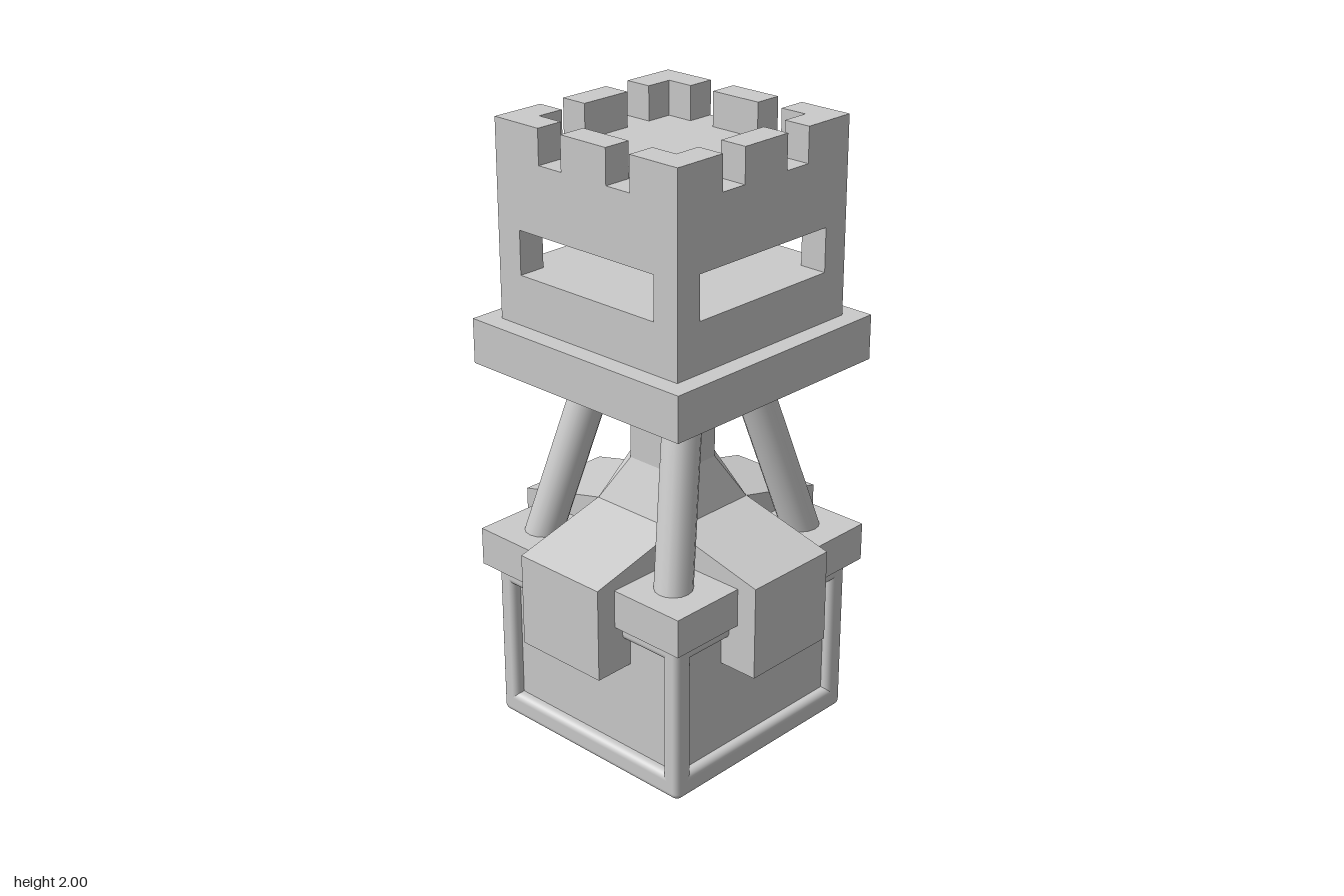
import * as THREE from 'three';
import { RoundedBoxGeometry } from 'three/addons/geometries/RoundedBoxGeometry.js';

const material = new THREE.MeshStandardMaterial({ color: 0xcccccc });

function add(parent, name, geometry, x = 0, y = 0, z = 0) {
  const mesh = new THREE.Mesh(geometry, material);
  mesh.name = name;
  mesh.position.set(x, y, z);
  parent.add(mesh);
  return mesh;
}

// Square block from y0 to y1, reaching r on each side
function block(parent, name, r, y0, y1) {
  return add(parent, name, new THREE.BoxGeometry(2 * r, y1 - y0, 2 * r), 0, (y0 + y1) / 2, 0);
}

function extrude(points, depth) {
  const shape = new THREE.Shape(points.map(([x, y]) => new THREE.Vector2(x, y)));
  return new THREE.ExtrudeGeometry(shape, { depth, bevelEnabled: false });
}

// Cross-sections [y, half width, corner chamfer] joined into a closed skin
function loft(sections) {
  const positions = [], index = [];
  for (const [y, r, c] of sections) {
    const k = r - c;
    for (const [x, z] of [[r, k], [k, r], [-k, r], [-r, k], [-r, -k], [-k, -r], [k, -r], [r, -k]]) positions.push(x, y, z);
  }
  for (let s = 0; s < sections.length - 1; s++) {
    for (let i = 0; i < 8; i++) {
      const a = s * 8 + i, b = s * 8 + (i + 1) % 8;
      index.push(a, a + 8, b, b, a + 8, b + 8);
    }
  }
  const geometry = new THREE.BufferGeometry();
  geometry.setAttribute('position', new THREE.Float32BufferAttribute(positions, 3));
  geometry.setIndex(index);
  const flat = geometry.toNonIndexed();
  flat.computeVertexNormals();
  return flat;
}

function strut(parent, name, from, to, radius) {
  const a = new THREE.Vector3(...from), b = new THREE.Vector3(...to);
  const mesh = add(parent, name, new THREE.CylinderGeometry(radius, radius, a.distanceTo(b), 16));
  mesh.position.copy(a).lerp(b, 0.5);
  mesh.quaternion.setFromUnitVectors(new THREE.Vector3(0, 1, 0), b.sub(a).normalize());
}

function createBase() {
  const base = new THREE.Group();
  base.name = 'base';
  block(base, 'recessedPanels', 0.36, 0.03, 0.54);
  // Rounded frame bars on every edge of the crate
  for (let i = 0; i < 4; i++) {
    const side = new THREE.Group();
    side.name = 'frameSide';
    side.rotation.y = i * Math.PI / 2;
    add(side, 'cornerBar', new RoundedBoxGeometry(0.067, 0.545, 0.067, 3, 0.022), 0.3585, 0.2725, 0.3585);
    add(side, 'bottomBar', new RoundedBoxGeometry(0.78, 0.08, 0.067, 3, 0.022), 0, 0.04, 0.3585);
    add(side, 'topBar', new RoundedBoxGeometry(0.78, 0.07, 0.067, 3, 0.022), 0, 0.515, 0.3585);
    base.add(side);
  }
  block(base, 'ledge', 0.425, 0.54, 0.665);
  return base;
}

function createSupport() {
  const support = new THREE.Group();
  support.name = 'support';
  // Two crossing saddles that hang over the crate sides
  const profile = [[-0.495, 0.385], [0.495, 0.385], [0.495, 0.69], [0.165, 0.77], [-0.165, 0.77], [-0.495, 0.69]];
  for (let i = 0; i < 2; i++) {
    const saddle = extrude(profile, 0.33);
    saddle.translate(0, 0, -0.165);
    add(support, 'saddle', saddle).rotation.y = i * Math.PI / 2;
  }
  add(support, 'column', loft([[0.7, 0.165, 0.002], [0.77, 0.165, 0.002], [0.92, 0.11, 0.036], [1.25, 0.11, 0.036]]));
  // Leaning struts at the corners
  for (const x of [-1, 1]) {
    for (const z of [-1, 1]) {
      strut(support, 'strut', [x * 0.29, 0.61, z * 0.305], [x * 0.171, 1.25, z * 0.13], 0.06);
    }
  }
  return support;
}

function createTurret() {
  const turret = new THREE.Group();
  turret.name = 'turret';
  const R = 0.363, inner = 0.272, gap = 0.182, merlon = 0.09;
  block(turret, 'platform', 0.425, 1.23, 1.375);
  block(turret, 'lowerWall', R, 1.375, 1.535);
  block(turret, 'upperWall', R, 1.675, 1.89);
  const corner = [[R, R], [gap, R], [gap, inner], [inner, inner], [inner, gap], [R, gap]];
  for (let i = 0; i < 4; i++) {
    const side = new THREE.Group();
    side.name = 'turretSide';
    side.rotation.y = i * Math.PI / 2;
    const t = R - inner, mid = (R + inner) / 2;
    // Pillars between the window slots
    add(side, 'windowPillar', new THREE.BoxGeometry(t, 0.14, t), mid, 1.605, mid);
    // Battlements
    add(side, 'middleMerlon', new THREE.BoxGeometry(2 * merlon, 0.11, t), 0, 1.945, mid);
    add(side, 'cornerMerlon', extrude(corner, 0.11), 0, 2, 0).rotation.x = Math.PI / 2;
    turret.add(side);
  }
  return turret;
}

export function createModel() {
  const model = new THREE.Group();
  model.name = 'watchtower';
  model.add(createBase(), createSupport(), createTurret());
  return model;
}
